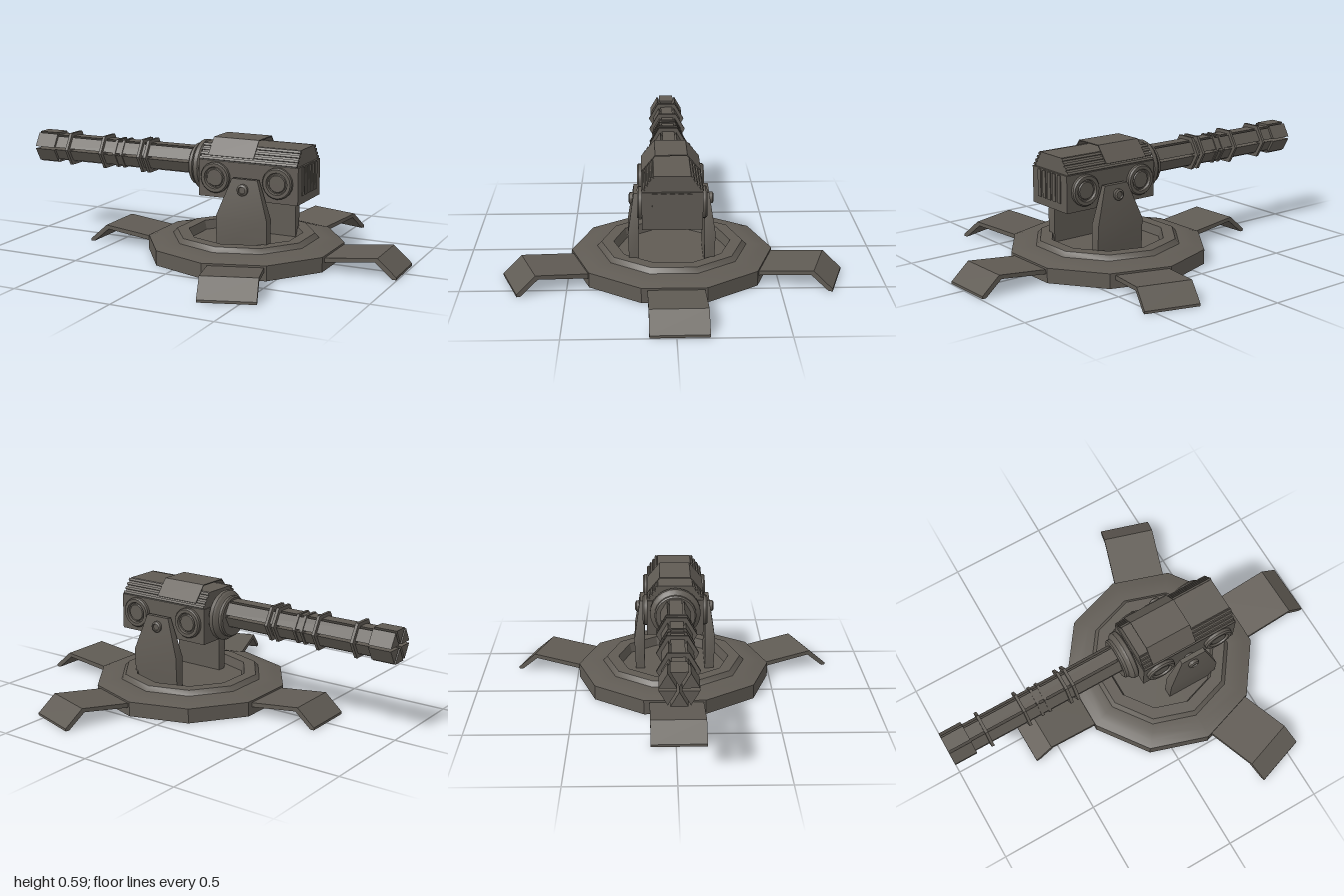
import * as THREE from 'three';
import { toCreasedNormals } from 'three/addons/utils/BufferGeometryUtils.js';

const metal = new THREE.MeshStandardMaterial({ color: 0x605b54 });
metal.name = 'gunmetal';

function add(parent, name, geometry) {
  const mesh = new THREE.Mesh(toCreasedNormals(geometry, 0.5), metal);
  mesh.name = name;
  parent.add(mesh);
  return mesh;
}

const lathe = (pts, sides) => new THREE.LatheGeometry(pts.map(p => new THREE.Vector2(p[0], p[1])), sides);

const extrude = (pts, depth) => new THREE.ExtrudeGeometry(
  new THREE.Shape(pts.map(p => new THREE.Vector2(p[0], p[1]))), { depth, bevelEnabled: false });

// Extrudes a [z, y] outline along x
const extrudeX = (pts, x0, x1) =>
  extrude(pts.map(([z, y]) => [-z, y]), x1 - x0).rotateY(Math.PI / 2).translate(x0, 0, 0);

// Stacks rectangles [y, x0, x1, z0, z1] into a closed solid
function loft(levels) {
  const pos = [], idx = [];
  for (const [y, x0, x1, z0, z1] of levels) pos.push(x0, y, z1, x1, y, z1, x1, y, z0, x0, y, z0);
  for (let l = 0; l < levels.length - 1; l++) {
    for (let i = 0; i < 4; i++) {
      const a = l * 4 + i, b = l * 4 + (i + 1) % 4;
      idx.push(a, b, b + 4, a, b + 4, a + 4);
    }
  }
  const t = (levels.length - 1) * 4;
  idx.push(0, 2, 1, 0, 3, 2, t, t + 1, t + 2, t, t + 2, t + 3);
  const g = new THREE.BufferGeometry();
  g.setAttribute('position', new THREE.Float32BufferAttribute(pos, 3));
  g.setIndex(idx);
  g.computeVertexNormals();
  return g;
}

function buildBase() {
  const base = new THREE.Group();
  base.name = 'base';
  base.position.x = 0.18;
  // Ten-sided stepped platform, hollow below, with a sunken centre
  add(base, 'platform', lathe([
    [0, 0.045], [0.475, 0.045], [0.482, 0], [0.49, 0], [0.49, 0.073], [0.45, 0.084], [0.41, 0.092],
    [0.365, 0.092], [0.345, 0.115], [0.285, 0.115], [0.272, 0.07], [0, 0.07]], 10));
  // Four bent feet
  for (const deg of [-1, 71, 179, 287]) {
    const leg = extrude([[0.42, 0.035], [0.71, 0.072], [0.795, 0], [0.814, 0], [0.814, 0.012],
      [0.722, 0.093], [0.42, 0.058]], 0.264);
    add(base, 'foot', leg.translate(0, 0, -0.132).rotateY(-deg * Math.PI / 180));
  }
  return base;
}

function buildMount() {
  const mount = new THREE.Group();
  mount.name = 'mount';
  for (const s of [1, -1]) {
    const z = (a, b) => s > 0 ? [a, b] : [-b, -a];
    add(mount, 'supportArm', loft([
      [0.07, 0.12, 0.385, ...z(0.155, 0.2)],
      [0.23, 0.12, 0.385, ...z(0.155, 0.207)],
      [0.415, 0.19, 0.323, ...z(0.155, 0.178)]]));
    // Pivot bolt
    add(mount, 'pivotBolt', lathe([[0, 0.17], [0.028, 0.17], [0.028, 0.197], [0.018, 0.203],
      [0.016, 0.196], [0, 0.196]], 16).rotateX(s * Math.PI / 2).translate(0.252, 0.365, 0));
  }
  add(mount, 'axle', new THREE.CylinderGeometry(0.025, 0.025, 0.34, 16)
    .rotateX(Math.PI / 2).translate(0.252, 0.365, 0));
  return mount;
}

function buildHousing() {
  const housing = new THREE.Group();
  housing.name = 'housing';
  add(housing, 'lowerBody', extrudeX([[-0.14, 0.305], [0.14, 0.305], [0.14, 0.485], [-0.14, 0.485]], -0.005, 0.515));
  add(housing, 'upperBody', extrudeX([[-0.138, 0.485], [0.138, 0.485], [0.085, 0.56], [-0.085, 0.56]], 0, 0.505));
  for (const s of [1, -1]) {
    // Long rails on the sloping shoulders
    for (const t of [0.1, 0.36, 0.62, 0.88]) {
      const rail = add(housing, 'rail', new THREE.BoxGeometry(0.51, 0.014, 0.012));
      rail.position.set(0.253, 0.485 + 0.075 * t, s * (0.139 - 0.053 * t));
      rail.rotation.x = s * 0.96;
    }
    // Round side ports
    for (const x of [0.088, 0.414]) {
      add(housing, 'sidePort', lathe([[0.076, 0.135], [0.076, 0.154], [0.07, 0.162], [0.054, 0.162],
        [0.05, 0.15], [0.044, 0.15], [0.04, 0.156], [0, 0.156]], 20)
        .rotateX(s * Math.PI / 2).translate(x, 0.404, 0));
    }
  }
  // Open-ended top cover
  add(housing, 'topCover', extrudeX([[0.141, 0.51], [0.076, 0.589], [-0.076, 0.589], [-0.141, 0.51],
    [-0.137, 0.508], [-0.074, 0.584], [0.074, 0.584], [0.137, 0.508]], 0.045, 0.285));
  // Ribs on the rear face
  for (let i = -2; i <= 2; i++) {
    add(housing, 'rearRib', new THREE.BoxGeometry(0.008, 0.135, 0.024).translate(0.516, 0.412, i * 0.04));
  }
  return housing;
}

function buildBarrels() {
  const barrels = new THREE.Group();
  barrels.name = 'barrels';
  // Six wedges around the axis, separated by narrow gaps
  const gap = 0.012;
  function wedge(k, side, x0, x1, name) {
    const a = k * Math.PI / 3, m = a + Math.PI / 6;
    const cz = gap * Math.cos(m), cy = 0.452 + gap * Math.sin(m);
    const corner = t => [cz + side * Math.cos(t), cy + side * Math.sin(t)];
    add(barrels, name, extrudeX([[cz, cy], corner(a), corner(a + Math.PI / 3)], x0, x1));
  }
  for (let k = 0; k < 6; k++) {
    wedge(k, 0.0625, -0.89, -0.03, 'barrel');
    wedge(k, 0.0765, -1, -0.885, 'muzzle');
  }
  // Hexagonal clamps: x, radius, width
  for (const [x, r, w] of [[-0.803, 0.096, 0.015], [-0.6, 0.096, 0.014], [-0.375, 0.096, 0.015],
    [-0.338, 0.096, 0.015], [-0.525, 0.082, 0.014], [-0.485, 0.082, 0.014]]) {
    add(barrels, 'clamp', new THREE.CylinderGeometry(r, r, w, 6).rotateZ(Math.PI / 2).translate(x, 0.452, 0));
  }
  // Round collar joining the barrels to the housing
  add(barrels, 'collar', lathe([[0, 0.018], [0.118, 0.018], [0.125, 0.025], [0.125, 0.045], [0.118, 0.055],
    [0.108, 0.06], [0.103, 0.066], [0.103, 0.08], [0.096, 0.086], [0, 0.086]], 24)
    .rotateZ(Math.PI / 2).translate(0, 0.433, 0));
  add(barrels, 'neck', new THREE.CylinderGeometry(0.05, 0.05, 0.05, 16)
    .rotateZ(Math.PI / 2).translate(-0.01, 0.433, 0));
  return barrels;
}

export function createModel() {
  const model = new THREE.Group();
  model.name = 'rotaryTurret';
  const gun = new THREE.Group();
  gun.name = 'gun';
  gun.position.z = 0.006;
  gun.add(buildMount(), buildHousing(), buildBarrels());
  model.add(buildBase(), gun);
  return model;
}
